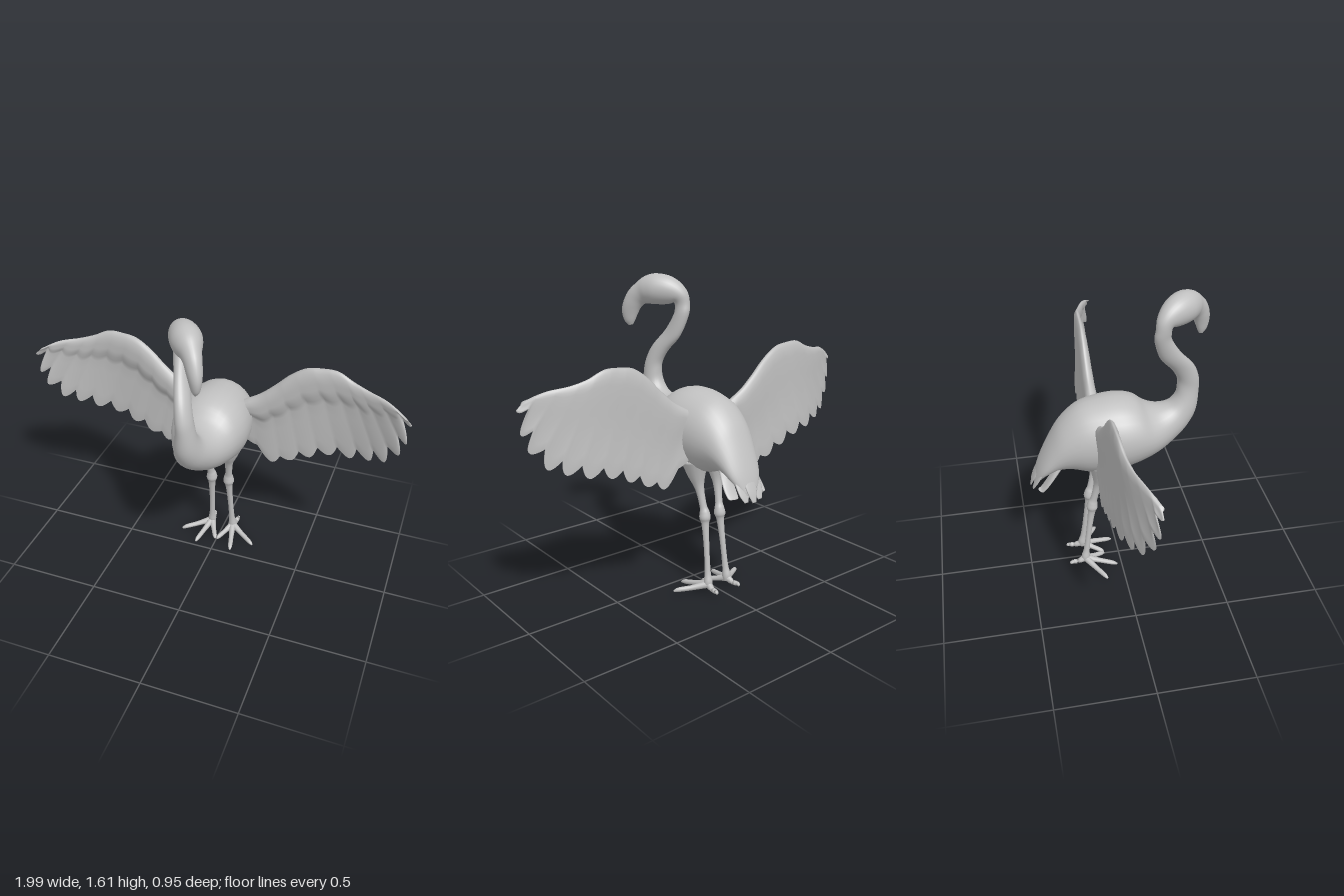
import * as THREE from 'three';

const V = (x, y, z) => new THREE.Vector3(x, y, z);
const curve = (pts) => new THREE.CatmullRomCurve3(pts, false, 'catmullrom', 0.5);

// Skin a list of closed rings (counter-clockwise about the direction of travel), capped at both ends.
function loft(rings) {
  const n = rings[0].length, m = rings.length, pos = [], idx = [];
  rings.forEach((r) => r.forEach((p) => pos.push(p.x, p.y, p.z)));
  for (let i = 0; i < m - 1; i++) {
    for (let j = 0; j < n; j++) {
      const k = (j + 1) % n, a = i * n + j, b = i * n + k, c = b + n, d = a + n;
      idx.push(a, b, c, a, c, d);
    }
  }
  [0, m - 1].forEach((i) => {
    const mid = V(0, 0, 0);
    rings[i].forEach((p) => mid.addScaledVector(p, 1 / n));
    const c = pos.length / 3;
    pos.push(mid.x, mid.y, mid.z);
    for (let j = 0; j < n; j++) {
      const a = i * n + j, b = i * n + (j + 1) % n;
      if (i === 0) idx.push(c, b, a); else idx.push(c, a, b);
    }
  });
  const g = new THREE.BufferGeometry();
  g.setAttribute('position', new THREE.Float32BufferAttribute(pos, 3));
  g.setIndex(idx);
  g.computeVertexNormals();
  return g;
}

// Rows: [top z, top y, bottom z, bottom y, half width, x, yaw], smoothed into oval rings.
function skin(rows, steps, sides) {
  const tops = [], bottoms = [], extra = [];
  rows.forEach(([tz, ty, bz, by, w, x = 0, yaw = 0]) => {
    const mid = (tz + bz) / 2, t = Math.tan(yaw);
    tops.push(V(x + t * (tz - mid), ty, tz));
    bottoms.push(V(x + t * (bz - mid), by, bz));
    extra.push(V(w, yaw, 0));
  });
  const [ct, cb, ce] = [tops, bottoms, extra].map(curve);
  const rings = [];
  for (let i = 0; i <= steps; i++) {
    const a = ct.getPoint(i / steps), b = cb.getPoint(i / steps), e = ce.getPoint(i / steps);
    const mid = a.clone().add(b).multiplyScalar(0.5), up = a.sub(mid);
    const side = V(-Math.cos(e.y), 0, Math.sin(e.y)).multiplyScalar(e.x);
    const ring = [];
    for (let j = 0; j < sides; j++) {
      const t = (j / sides) * Math.PI * 2;
      ring.push(mid.clone().addScaledVector(up, Math.cos(t)).addScaledVector(side, Math.sin(t)));
    }
    rings.push(ring);
  }
  return loft(rings);
}

// Round limb through points [x, y, z, radius].
function limb(pts, steps = 24, sides = 12) {
  const path = curve(pts.map((p) => V(p[0], p[1], p[2])));
  const radius = curve(pts.map((p) => V(p[3], 0, 0)));
  const rings = [];
  for (let i = 0; i <= steps; i++) {
    const c = path.getPoint(i / steps), r = radius.getPoint(i / steps).x;
    const q = new THREE.Quaternion().setFromUnitVectors(V(0, 0, 1), path.getTangent(i / steps));
    rings.push(Array.from({ length: sides }, (_, j) => {
      const t = (j / sides) * Math.PI * 2;
      return V(Math.cos(t) * r, Math.sin(t) * r, 0).applyQuaternion(q).add(c);
    }));
  }
  return loft(rings);
}

// Spread wing: thick arm along the leading edge, thin scalloped feathers behind it.
function wing(sign) {
  const lead = curve([[.12, .98], [.22, 1.04], [.3, 1.11], [.37, 1.18], [.45, 1.235], [.53, 1.25],
    [.61, 1.25], [.69, 1.215], [.77, 1.192], [.87, 1.175], [.955, 1.138]].map(([x, y]) => V(x, y, 0)));
  const trail = curve([[.14, .74], [.29, .615], [.4, .65], [.5, .695], [.6, .735], [.71, .755],
    [.81, .785], [.89, .82], [.958, .905], [.985, .99], [.995, 1.1]].map(([x, y]) => V(x, y, 0)));
  const S = THREE.MathUtils.smoothstep;
  const feathers = 10, steps = 100, cols = [0, .015, .05, .1, .16, .23, .3, .36, .42, .55, .7, .85, 1];
  const rings = [];
  for (let i = 0; i <= steps; i++) {
    const u = i / steps, L = lead.getPoint(u), T = trail.getPoint(u);
    const inward = L.clone().sub(T).normalize();
    T.addScaledVector(inward, (0.035 + 0.045 * u) * (1 - Math.abs(Math.cos(Math.PI * feathers * u))));
    const at = (v, front) => {
      const p = L.clone().lerp(T, v);
      const z = -.118 - .022 * v + .14 * Math.max(0, (p.x - .55) / .45) ** 2;
      const round = Math.sqrt(Math.min(1, v / .1)), size = 1 - .8 * u;
      const thick = front
        ? round * (.003 + .037 * size * (1 - S(v, .27, .4)))
        : -round * (.003 + .02 * size * (1 - S(v, .1, .7)));
      return V(sign * p.x, p.y, z + thick);
    };
    const ring = [...cols.map((v) => at(v, true)), ...cols.slice(1).reverse().map((v) => at(v, false))];
    rings.push(sign > 0 ? ring : ring.reverse());
  }
  return loft(rings);
}

export function createModel() {
  const model = new THREE.Group();
  const plumage = new THREE.MeshStandardMaterial({ color: 0xc0c0c0, side: THREE.DoubleSide });
  plumage.name = 'plainGrey';
  const add = (name, geometry, parent = model) => {
    const mesh = new THREE.Mesh(geometry, plumage);
    mesh.name = name;
    parent.add(mesh);
  };

  // Body and neck in one skin, running from the tail up to the turned head.
  const body = [
    [-.455, .615, -.44, .59, .04], [-.42, .72, -.38, .655, .09], [-.36, .85, -.31, .68, .12],
    [-.3, .95, -.24, .675, .145], [-.21, 1.03, -.16, .65, .172], [-.1, 1.06, -.07, .65, .192],
    [0, 1.065, .02, .665, .197], [.08, 1.045, .12, .695, .18], [.14, 1, .21, .735, .147],
    [.2, .985, .29, .79, .11], [.26, 1, .36, .86, .08], [.295, 1.045, .405, .95, .06],
    [.302, 1.1, .415, 1.06, .046, 0], [.295, 1.15, .41, 1.14, .042, -.008],
    [.26, 1.21, .375, 1.225, .038, -.025], [.196, 1.29, .3, 1.315, .035, -.055],
    [.16, 1.4, .247, 1.4, .034, -.077, .2], [.165, 1.46, .24, 1.445, .035, -.084, .4],
  ];
  // Head and hooked beak, turned towards the left.
  const head = [
    [.178, 1.515, .238, 1.462, .042], [.21, 1.565, .255, 1.455, .055], [.26, 1.6, .285, 1.45, .069],
    [.32, 1.61, .32, 1.45, .074], [.37, 1.593, .345, 1.451, .064], [.408, 1.558, .36, 1.452, .05],
    [.443, 1.515, .375, 1.445, .042], [.466, 1.46, .39, 1.425, .037], [.474, 1.41, .403, 1.395, .03],
    [.465, 1.36, .415, 1.362, .021], [.444, 1.332, .425, 1.338, .009],
  ].map((r) => [...r, -.02 + .716 * ((r[0] + r[2]) / 2 - .29), .62]);
  add('bodyNeckHeadAndBeak', skin([...body, ...head], 130, 28));

  // Tail feathers fanned over the rump.
  [-2, -1, 0, 1, 2].forEach((i) => {
    const k = Math.abs(i), x = i * .042, rise = k * k * .013, fwd = k * k * .009;
    add('tailFeather', skin([
      [-.36 + fwd, .8 - rise, -.33 + fwd, .78 - rise, .03, x * .8],
      [-.417 + fwd, .71 - rise, -.4 + fwd, .7 - rise, .036, x],
      [-.455 + fwd, .63 - rise / 2, -.445 + fwd, .625 - rise / 2, .032, x * 1.05],
      [-.473 + fwd, .575 + rise / 2, -.468 + fwd, .57 + rise / 2, .012, x * 1.05],
    ], 14, 12));
  });

  for (const s of [1, -1]) {
    const side = s > 0 ? 'left' : 'right';
    add(side + 'Wing', wing(s));

    // Leg with thigh and knobbly joint, then a four-toed foot.
    const leg = new THREE.Group();
    leg.name = side + 'Leg';
    model.add(leg);
    add('shank', limb([
      [s * .075, .72, -.1, .075], [s * .067, .63, -.108, .046], [s * .06, .56, -.122, .024],
      [s * .053, .47, -.142, .019], [s * .05, .435, -.15, .026], [s * .05, .405, -.154, .03],
      [s * .051, .37, -.158, .02], [s * .055, .25, -.174, .015], [s * .06, .12, -.19, .016],
      [s * .063, .065, -.198, .023], [s * .064, .035, -.2, .02],
    ], 60, 14), leg);
    [[.215, .016, -.1], [.105, .009, -.026], [.005, .011, -.085], [.075, .03, -.288]].forEach(([x, y, z]) => {
      const mix = (t) => [s * (.064 + (x - .064) * t), -.2 + (z + .2) * t];
      const [x1, z1] = mix(.45), [x2, z2] = mix(.85);
      add('toe', limb([
        [s * .064, .05, -.2, .02], [x1, .03 + y * .2, z1, .014],
        [x2, y + .008, z2, .012], [s * x, y, z, .005],
      ], 14, 10), leg);
    });
  }
  return model;
}
